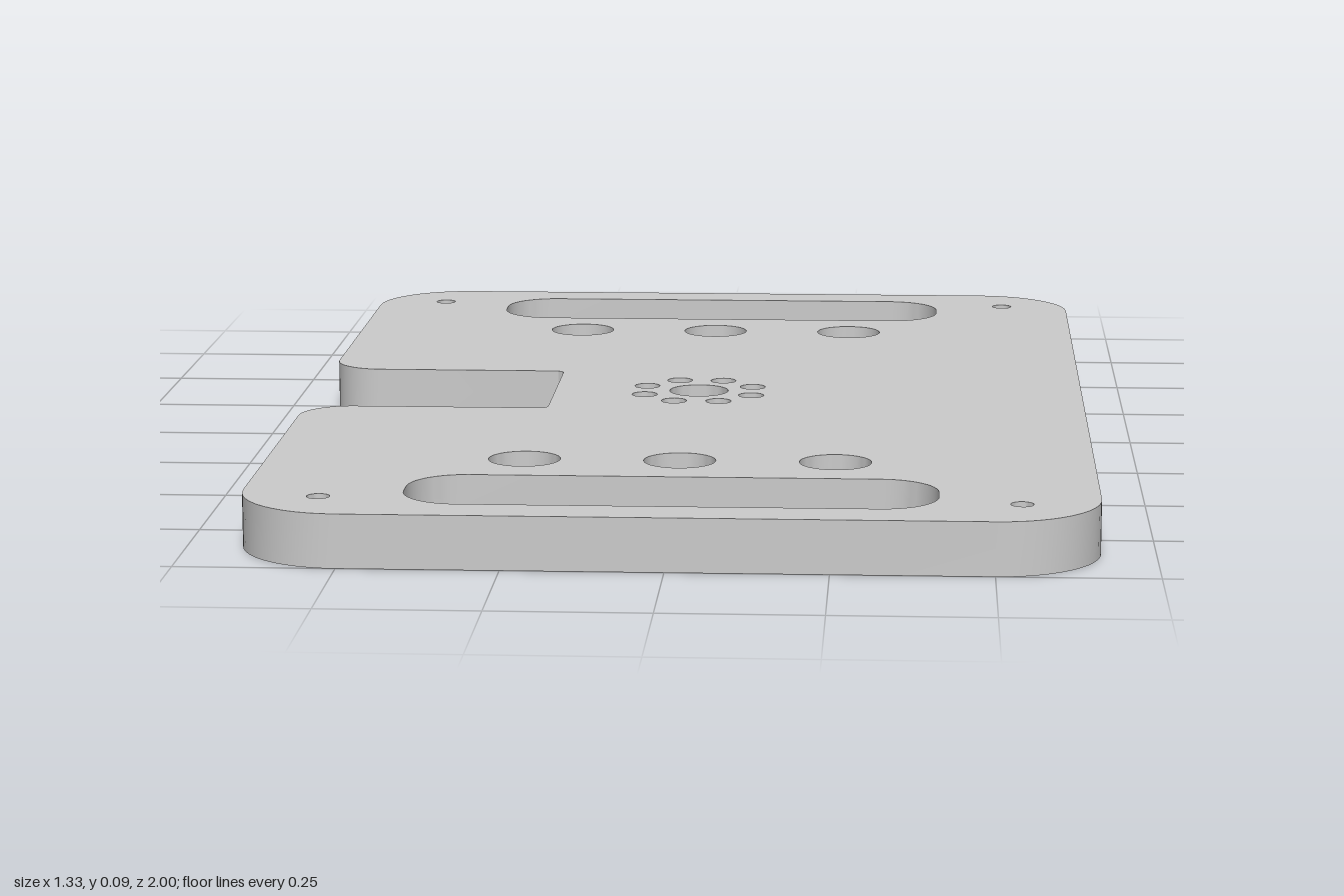
import * as THREE from 'three';
import { toCreasedNormals, mergeGeometries } from 'three/addons/utils/BufferGeometryUtils.js';

const H = 0.085;          // plate thickness
const BORE_FLOOR = 0.025; // floor height of the counterbores on top
const RECESS = 0.045;     // depth of the flower recess underneath

// Plan loops are counter-clockwise lists of (x, -z).
function circle(x, y, r, n = 32) {
  return Array.from({ length: n }, (_, i) => {
    const a = (i / n) * Math.PI * 2;
    return new THREE.Vector2(x + r * Math.cos(a), y + r * Math.sin(a));
  });
}

// Right-angled polygon with a fillet radius at each corner [x, y, r]
function filleted(corners, n = 12) {
  const pts = [], count = corners.length;
  const v2 = (c) => new THREE.Vector2(c[0], c[1]);
  corners.forEach((c, i) => {
    const p = v2(c), r = c[2];
    const u = v2(corners[(i + count - 1) % count]).sub(p).normalize();
    const v = v2(corners[(i + 1) % count]).sub(p).normalize();
    for (let k = 0; k <= n; k++) {
      const t = (k / n) * Math.PI / 2;
      pts.push(p.clone()
        .addScaledVector(u, r * (1 - Math.sin(t)))
        .addScaledVector(v, r * (1 - Math.cos(t))));
    }
  });
  return pts;
}

// Horizontal face with holes, facing up or down
function face(outline, holes, y, down = false) {
  const shape = new THREE.Shape(outline);
  shape.holes = holes.map((h) => new THREE.Path(h));
  const g = new THREE.ShapeGeometry(shape).rotateX(-Math.PI / 2).translate(0, y, 0);
  if (down) {
    g.index.array.reverse();
    g.computeVertexNormals();
  }
  return g;
}

// Vertical wall along a loop, facing outward or inward
function wall(loop, y0, y1, inward = false) {
  const pos = [];
  loop.forEach((p, i) => {
    let a = p, b = loop[(i + 1) % loop.length];
    if (inward) [a, b] = [b, a];
    pos.push(a.x, y0, -a.y, b.x, y0, -b.y, b.x, y1, -b.y);
    pos.push(a.x, y0, -a.y, b.x, y1, -b.y, a.x, y1, -a.y);
  });
  const g = new THREE.BufferGeometry();
  g.setAttribute('position', new THREE.Float32BufferAttribute(pos, 3));
  return toCreasedNormals(g, 0.6);
}

export function createModel() {
  const group = new THREE.Group();
  const material = new THREE.MeshStandardMaterial({ color: 0xcccccc });
  const add = (name, geometry) => {
    const mesh = new THREE.Mesh(geometry, material);
    mesh.name = name;
    group.add(mesh);
  };
  const addWalls = (name, loops, y0, y1) =>
    add(name, mergeGeometries(loops.map((l) => wall(l, y0, y1, true))));

  // Plate outline with a notch in the -x side
  const outline = filleted([
    [-0.665, -1, 0.165], [0.665, -1, 0.165], [0.665, 1, 0.165], [-0.665, 1, 0.165],
    [-0.665, 0.167, 0.085], [-0.25, 0.167, 0.015],
    [-0.25, -0.167, 0.015], [-0.665, -0.167, 0.085],
  ]);

  // Handle slots, corner holes and counterbored holes, mirrored front to back
  const slots = [], cornerHoles = [], bores = [], boltHoles = [];
  for (const s of [-1, 1]) {
    const y0 = s * 0.815 - 0.106, y1 = s * 0.815 + 0.106;
    slots.push(filleted([
      [-0.415, y0, 0.09], [0.415, y0, 0.09], [0.415, y1, 0.09], [-0.415, y1, 0.09],
    ]));
    for (const x of [-0.542, 0.542]) cornerHoles.push(circle(x, s * 0.877, 0.018, 24));
    for (const x of [-0.25, 0, 0.25]) {
      bores.push(circle(x, s * 0.584, 0.058, 40));
      boltHoles.push(circle(x, s * 0.584, 0.033));
    }
  }

  // Ring of eight small holes whose overlapping counterbores form a flower
  const R = 0.1, lobe = 0.042, half = Math.PI / 8;
  const reach = Math.sqrt(lobe ** 2 - (R * Math.sin(half)) ** 2);
  const meetAngle = (rho) => Math.atan2(rho * Math.sin(half), rho * Math.cos(half) - R);
  const outerA = meetAngle(R * Math.cos(half) + reach);
  const innerA = meetAngle(R * Math.cos(half) - reach);
  const centreHole = circle(0, 0, 0.051, 40);
  const ringHoles = [], flower = [], island = [];
  const arc = (out, phi, from, to, n = 12) => {
    for (let i = 0; i < n; i++) {
      const a = phi + from + (to - from) * i / n;
      out.push(new THREE.Vector2(
        R * Math.cos(phi) + lobe * Math.cos(a), R * Math.sin(phi) + lobe * Math.sin(a)));
    }
  };
  for (let k = 0; k < 8; k++) {
    const phi = half + k * Math.PI / 4;
    ringHoles.push(circle(R * Math.cos(phi), R * Math.sin(phi), 0.022, 24));
    arc(flower, phi, -outerA, outerA);
    arc(island, phi, 2 * Math.PI - innerA, innerA);
  }

  // Plate surfaces
  const through = [...slots, ...cornerHoles];
  add('plateTop', face(outline, [...through, ...bores, ...ringHoles, centreHole], H));
  add('plateUnderside', face(outline, [...through, ...boltHoles, flower], 0, true));
  add('plateEdge', wall(outline, 0, H));
  addWalls('handleSlots', slots, 0, H);
  addWalls('cornerHoles', cornerHoles, 0, H);

  // Counterbored bolt holes
  addWalls('counterbores', bores, BORE_FLOOR, H);
  add('counterboreFloors', mergeGeometries(
    bores.map((b, i) => face(b, [boltHoles[i]], BORE_FLOOR))));
  addWalls('boltHoles', boltHoles, 0, BORE_FLOOR);

  // Central hole pattern with the recess below
  addWalls('centreHole', [centreHole], 0, H);
  addWalls('ringHoles', ringHoles, RECESS, H);
  add('recessCeiling', face(flower, [island, ...ringHoles], RECESS, true));
  addWalls('recessWall', [flower], 0, RECESS);
  add('centreBossWall', wall(island, 0, RECESS));
  add('centreBossUnderside', face(island, [centreHole], 0, true));
  return group;
}
